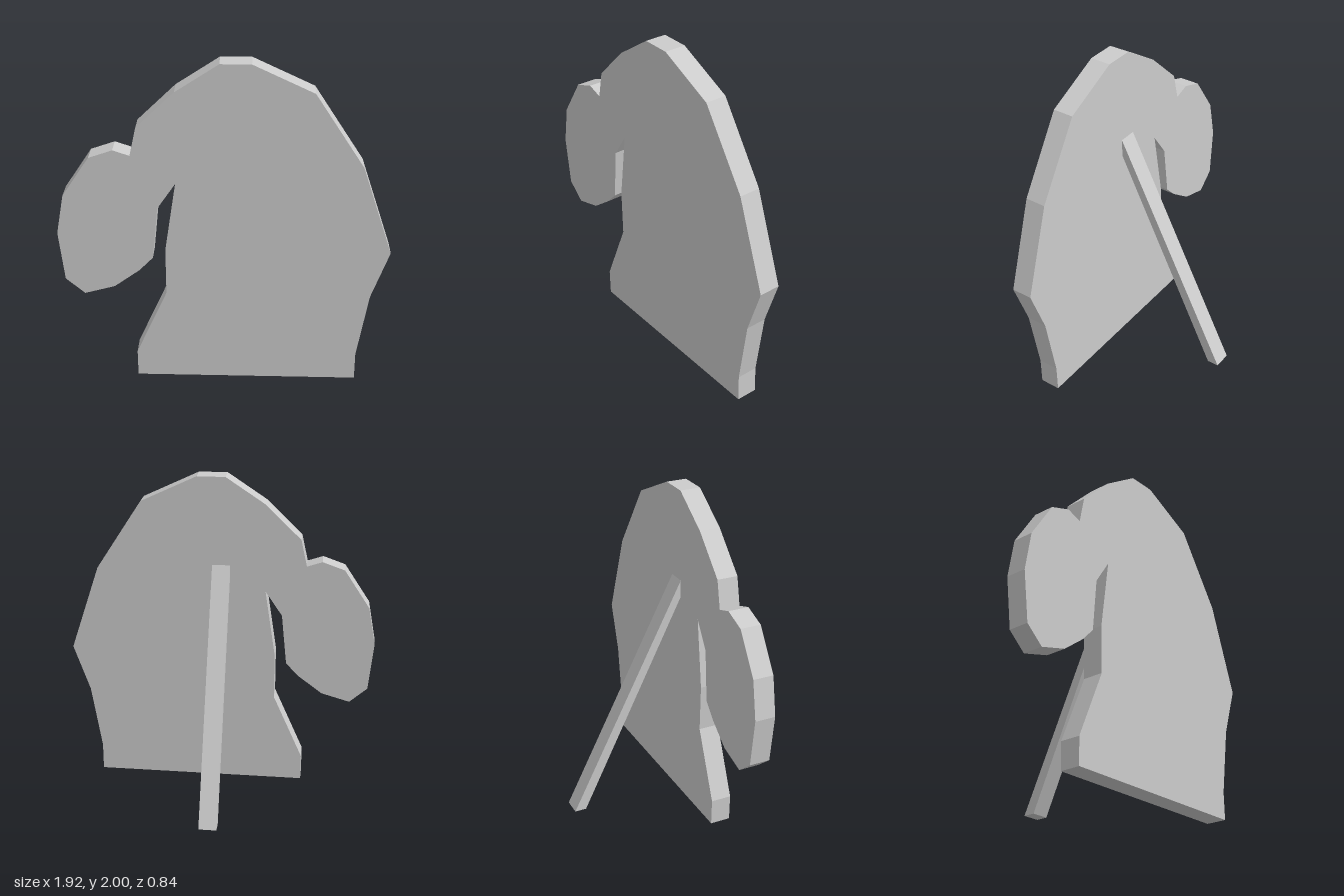
import * as THREE from 'three';

const material = new THREE.MeshStandardMaterial({ color: 0xcccccc, flatShading: true });

// Flat slab cut from an outline, extruded along +z
function slab(name, outline, depth) {
  const shape = new THREE.Shape(outline.map(([x, y]) => new THREE.Vector2(x, y)));
  const geometry = new THREE.ExtrudeGeometry(shape, { depth, bevelEnabled: false });
  const mesh = new THREE.Mesh(geometry, material);
  mesh.name = name;
  return mesh;
}

export function createModel() {
  const group = new THREE.Group();
  group.name = 'standingCutout';

  // Upright panel: base and right edge, crown, drooping lobe, then the inner notch
  const panel = slab('panel', [
    [-0.525, 0], [0.79, 0], [0.79, 0.17], [0.855, 0.575], [0.957, 0.868], [0.777, 1.405],
    [0.495, 1.838], [0.15, 2], [-0.025, 2], [-0.27, 1.838], [-0.487, 1.627], [-0.525, 1.46],
    [-0.62, 1.492], [-0.757, 1.444], [-0.915, 1.207], [-0.96, 0.968], [-0.93, 0.667],
    [-0.82, 0.57], [-0.643, 0.62], [-0.495, 0.73], [-0.413, 0.815], [-0.38, 1.135],
    [-0.275, 1.29], [-0.34, 0.868], [-0.34, 0.58], [-0.525, 0.165],
  ], 0.127);
  panel.position.z = 0.293;
  group.add(panel);

  // Sloping rear prop, drawn in side profile (z, y) and turned across x
  const prop = slab('rearProp', [
    [-0.42, 0], [-0.347, 0], [0.293, 1.34], [0.293, 1.45],
  ], 0.11);
  prop.geometry.rotateY(-Math.PI / 2);
  prop.position.x = 0.057;
  group.add(prop);

  return group;
}
